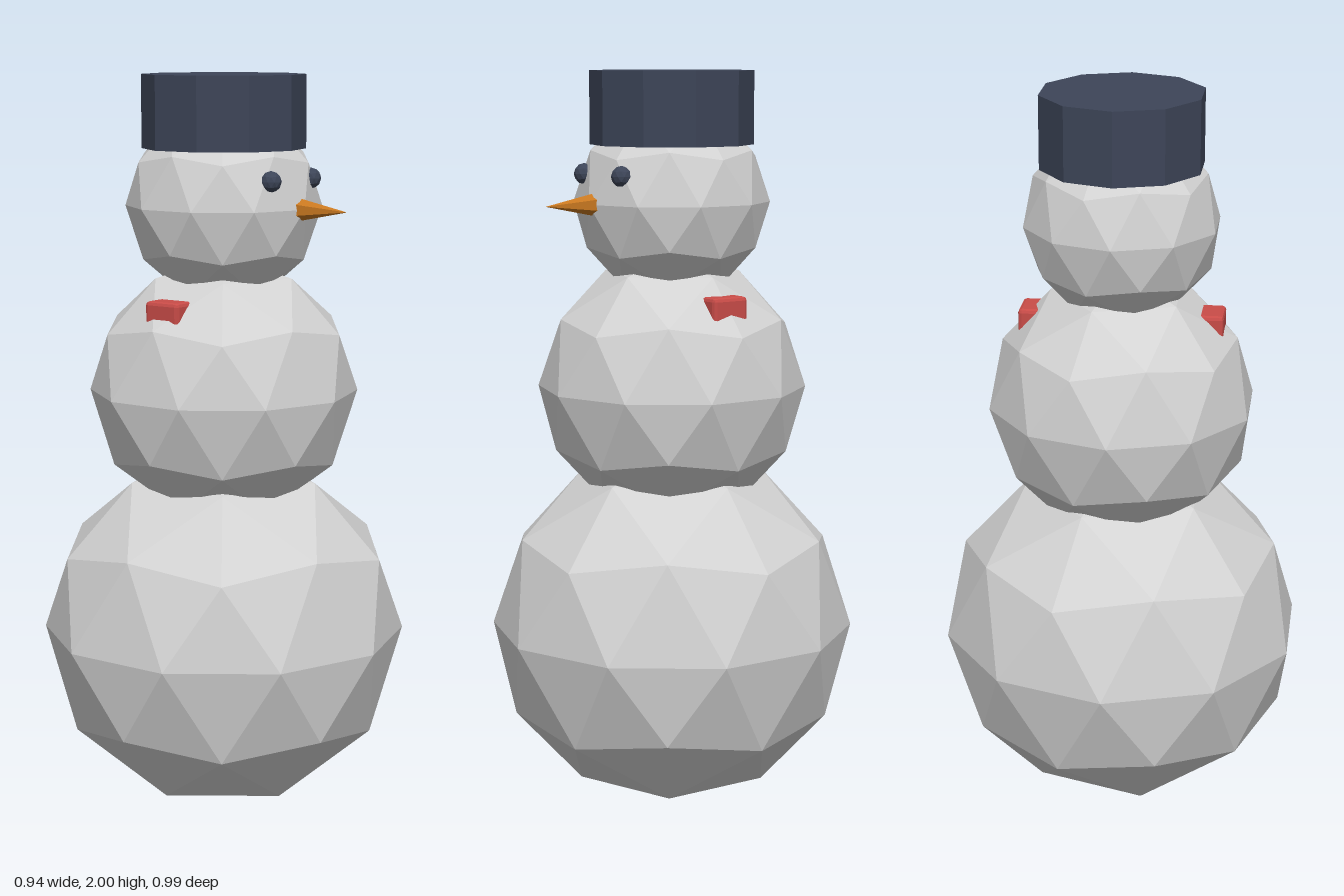
import * as THREE from 'three';
import { RoundedBoxGeometry } from 'three/addons/geometries/RoundedBoxGeometry.js';

const material = (name, color) => {
  const m = new THREE.MeshStandardMaterial({ color });
  m.name = name;
  return m;
};

// One normal per face, for a faceted look
function faceted(geometry) {
  const g = geometry.index ? geometry.toNonIndexed() : geometry;
  g.computeVertexNormals();
  return g;
}

// 80-sided ball turned so that a corner points straight up
function ball(radius) {
  const g = new THREE.IcosahedronGeometry(radius, 1);
  g.rotateZ(-Math.atan(2 / (1 + Math.sqrt(5))));
  return faceted(g);
}

export function createModel() {
  const model = new THREE.Group();
  model.name = 'snowman';
  const snow = material('snow', 0xd2d2d2);
  const navy = material('navy', 0x3d4558);
  const orange = material('orange', 0xc87820);
  const red = material('red', 0xc94c48);

  const add = (name, geometry, mat, x, y, z) => {
    const mesh = new THREE.Mesh(geometry, mat);
    mesh.name = name;
    mesh.position.set(x, y, z);
    model.add(mesh);
    return mesh;
  };

  // Three stacked snowballs
  add('lowerBody', ball(0.493), snow, 0, 0.493, 0);
  add('upperBody', ball(0.362), snow, 0, 1.156, 0);
  add('head', ball(0.263), snow, 0, 1.654, 0);

  // Ten-sided hat
  add('hat', faceted(new THREE.CylinderGeometry(0.219, 0.219, 0.195, 10)), navy, 0, 1.9025, 0);

  // Six-sided carrot nose pointing forward
  const nose = new THREE.ConeGeometry(0.031, 0.155, 6);
  nose.rotateX(Math.PI / 2);
  add('nose', faceted(nose), orange, 0, 1.654, 0.3175);

  // Eyes
  for (const side of [-1, 1]) {
    add(side > 0 ? 'leftEye' : 'rightEye', ball(0.028), navy, side * 0.09, 1.73, 0.219);
  }

  // Scarf bar through the neck, showing at both shoulders
  add('scarf', faceted(new RoundedBoxGeometry(0.546, 0.07, 0.108, 1, 0.01)), red, 0, 1.384, 0);

  return model;
}
